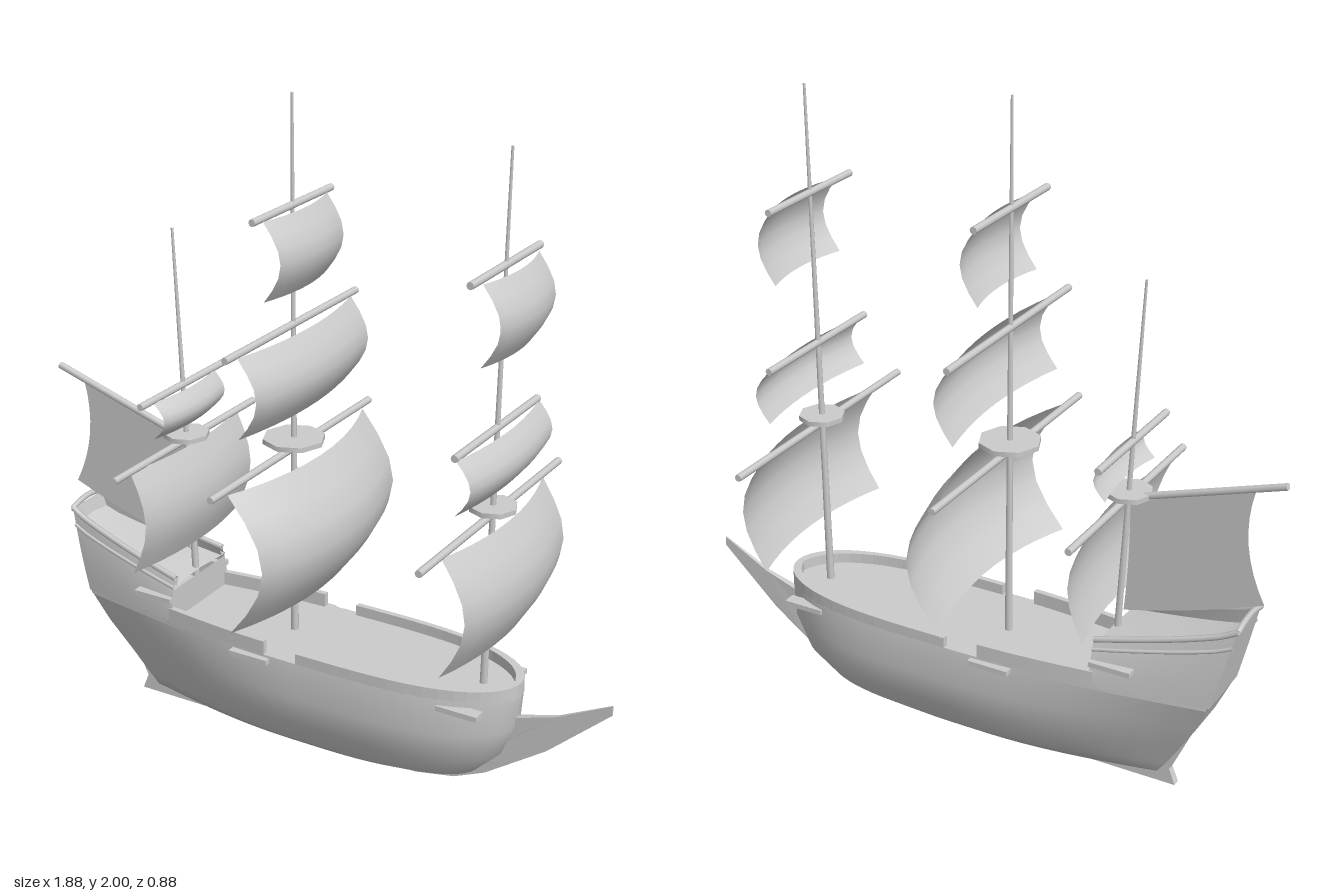
import * as THREE from 'three';

const material = new THREE.MeshStandardMaterial({ color: 0xcccccc, side: THREE.DoubleSide });
const lerp = THREE.MathUtils.lerp;

function add(parent, name, geometry) {
  const mesh = new THREE.Mesh(geometry, material);
  mesh.name = name;
  parent.add(mesh);
  return mesh;
}

// Skin over rows of points, all rows the same length
function loft(rows) {
  const n = rows[0].length, index = [];
  for (let i = 0; i < rows.length - 1; i++) {
    for (let k = 0; k < n - 1; k++) {
      const a = i * n + k, b = a + n;
      index.push(a, a + 1, b, b, a + 1, b + 1);
    }
  }
  const g = new THREE.BufferGeometry();
  g.setAttribute('position', new THREE.Float32BufferAttribute(rows.flat(2), 3));
  g.setIndex(index);
  g.computeVertexNormals();
  return g;
}

// Tapered round spar between two points
function spar(parent, name, from, to, r0, r1 = r0) {
  const a = new THREE.Vector3(...from), b = new THREE.Vector3(...to);
  const mesh = add(parent, name, new THREE.CylinderGeometry(r1, r0, a.distanceTo(b), 8));
  mesh.position.copy(a).lerp(b, 0.5);
  mesh.quaternion.setFromUnitVectors(new THREE.Vector3(0, 1, 0), b.sub(a).normalize());
}

// Horizontal slab from an outline of [x, z] points
function slab(parent, name, outline, top, thick) {
  const shape = new THREE.Shape(outline.map(p => new THREE.Vector2(...p)));
  const g = new THREE.ExtrudeGeometry(shape, { depth: thick, bevelEnabled: false });
  add(parent, name, g.rotateX(Math.PI / 2)).position.y = top;
}

// Hull levels: height, stern x, bow x, greatest half-width, stern half-width
const levels = [
  [0.03, -0.60, 0.38, 0.085, 0.012],
  [0.07, -0.63, 0.53, 0.13, 0.02],
  [0.15, -0.68, 0.61, 0.175, 0.04],
  [0.25, -0.74, 0.65, 0.2, 0.07],
  [0.36, -0.79, 0.66, 0.188, 0.1],
];
const rim = levels[4];

function halfWidth([, , , wide, stern], t) {
  if (t < 0.55) return stern + (wide - stern) * Math.sin(Math.PI / 2 * t / 0.55);
  if (t < 0.6) return wide;
  return wide * Math.sqrt(Math.max(0, 1 - ((t - 0.6) / 0.4) ** 3));
}
const rimWidth = x => halfWidth(rim, (x - rim[1]) / (rim[2] - rim[1]));

// Mirrored cross-section: one side from the top down, then the other side up
const mirrored = side => [...side.slice().reverse().map(([x, y, z]) => [x, y, -z]), ...side];

// Flat wall closing a mirrored cross-section
const endWall = side => loft(side.map(([x, y, z]) => [[x, y, -z], [x, y, z]]));

function buildHull(ship) {
  const station = t => levels.map(l => [lerp(l[1], l[2], t), l[0], halfWidth(l, t)]);
  const rows = [];
  for (let i = 0; i <= 28; i++) rows.push(mirrored(station(Math.sin(i / 28 * Math.PI / 2))));
  add(ship, 'hull', loft(rows));
  add(ship, 'transom', endWall(station(0)));

  // Keel, sternpost and beakhead in one thin plate, narrowing to the tip
  const outline = [[-0.66, 0], [0.33, 0], [0.46, 0.025], [0.56, 0.07], [0.64, 0.125], [0.75, 0.2],
    [0.94, 0.37], [0.94, 0.4], [0.78, 0.32], [0.65, 0.28], [0.6, 0.18], [0.5, 0.1], [0.3, 0.05],
    [-0.58, 0.05], [-0.7, 0.25], [-0.725, 0.24], [-0.64, 0.05]];
  const keel = new THREE.ExtrudeGeometry(new THREE.Shape(outline.map(p => new THREE.Vector2(...p))),
    { depth: 0.024, bevelEnabled: false }).translate(0, 0, -0.012);
  const p = keel.attributes.position;
  for (let i = 0; i < p.count; i++) {
    p.setZ(i, p.getZ(i) * (1 - 0.8 * THREE.MathUtils.smoothstep(p.getX(i), 0.6, 0.94)));
  }
  keel.computeVertexNormals();
  add(ship, 'keel', keel);
}

function buildDeck(ship) {
  // One side of the rim between two x positions, closer together near the bow
  const edge = (x0, x1) => Array.from({ length: 17 }, (_, i) => {
    const x = lerp(x0, x1, Math.sin(i / 16 * Math.PI / 2));
    return [x, rimWidth(x)];
  });
  const inset = pts => pts.map(([x, z]) => [x > 0.4 ? x - 0.02 * (x - 0.4) / 0.26 : x, Math.max(0, z - 0.018)]);
  const flip = pts => pts.map(([x, z]) => [x, -z]).reverse();
  const round = pts => [...pts, ...flip(pts).slice(1)];

  slab(ship, 'mainDeck', round(edge(-0.78, 0.66)), 0.36, 0.015);
  const bow = edge(0.02, 0.66);
  slab(ship, 'bowBulwark', [...round(bow), ...round(inset(bow)).reverse()], 0.393, 0.04);
  const waist = edge(-0.45, -0.09);
  const wall = [...waist, ...inset(waist).reverse()];
  slab(ship, 'waistBulwark', wall, 0.403, 0.05);
  slab(ship, 'waistBulwark', flip(wall), 0.403, 0.05);
}

function buildSterncastle(ship) {
  const castle = new THREE.Group();
  castle.name = 'sterncastle';
  ship.add(castle);
  // h runs from the hull rim (0) to the rail (1), a from stern to bulkhead
  const point = (a, h) => {
    const z = rimWidth(lerp(-0.79, -0.44, a)) * (1 - 0.18 * h * h);
    return [lerp(-0.79 - 0.065 * h, -0.44, a), lerp(0.355, lerp(0.615, 0.495, Math.pow(a, 0.75)), h), z];
  };
  const side = a => [0, 0.25, 0.5, 0.75, 1].map(h => point(a, h));
  const steps = Array.from({ length: 11 }, (_, i) => i / 10);

  for (const s of [1, -1]) {
    const flip = ([x, y, z]) => [x, y, z * s];
    add(castle, 'sideWall', loft(steps.map(a => side(a).map(flip))));
    add(castle, 'innerWall', loft(steps.map(a => [0.8, 1].map(h => {
      const [x, y, z] = point(a, h);
      return [x, y, (z - 0.015) * s];
    }))));
    // Cap rail and side moulding
    for (const [name, h, r] of [['capRail', 1, 0.009], ['moulding', 0.8, 0.006]]) {
      const path = new THREE.CatmullRomCurve3(steps.map(a => new THREE.Vector3(...flip(point(a, h)))));
      add(castle, name, new THREE.TubeGeometry(path, 16, r, 6));
    }
  }
  add(castle, 'sternWall', endWall(side(0)));
  add(castle, 'bulkhead', endWall(side(1).slice(0, 4)));
  add(castle, 'poopDeck', loft(steps.map(a => {
    const [x, y, z] = point(a, 0.8);
    return [[x, y, -z], [x, y + 0.01, 0], [x, y, z]];
  })));
  // Arched stern rail
  const [x, y, z] = point(0, 1);
  const arch = new THREE.QuadraticBezierCurve3(new THREE.Vector3(x, y, -z),
    new THREE.Vector3(x, y + 0.03, 0), new THREE.Vector3(x, y, z));
  add(castle, 'sternRail', new THREE.TubeGeometry(arch, 10, 0.009, 6));
}

// Square sail bulging forward both along its height and across its width
function squareSail(parent, x, top, bottom, half, drop, belly) {
  const rows = [];
  for (let i = 0; i <= 6; i++) {
    const v = i / 6, row = [];
    for (let k = 0; k <= 10; k++) {
      const u = k / 5 - 1;
      row.push([x + drop * Math.sin(Math.PI * v) + belly * (1 - u * u), lerp(top, bottom, v), u * half]);
    }
    rows.push(row);
  }
  add(parent, 'squareSail', loft(rows));
}

// Masts: foot, head, radius, top platform [y, radius],
// sails [sail x, yard y, yard half-length, sail bottom, sail half-width, drop bulge, cross bulge]
const masts = [
  { name: 'mainMast', foot: [-0.095, 0.34], head: [-0.095, 2], r: 0.012, top: [0.982, 0.093], sails: [
    [-0.08, 0.955, 0.44, 0.52, 0.375, 0.11, 0.075],
    [-0.085, 1.335, 0.355, 1.09, 0.308, 0.06, 0.038],
    [-0.085, 1.685, 0.21, 1.45, 0.17, 0.055, 0.025]] },
  { name: 'foreMast', foot: [0.54, 0.34], head: [0.57, 1.94], r: 0.012, top: [0.917, 0.07], sails: [
    [0.555, 0.895, 0.435, 0.53, 0.315, 0.075, 0.05],
    [0.56, 1.155, 0.255, 0.99, 0.255, 0.045, 0.028],
    [0.58, 1.62, 0.21, 1.385, 0.168, 0.055, 0.027]] },
  { name: 'mizzenMast', foot: [-0.452, 0.45], head: [-0.505, 1.555], r: 0.011, top: [0.917, 0.07], sails: [
    [-0.48, 0.9, 0.37, 0.57, 0.283, 0.05, 0.035],
    [-0.478, 1.075, 0.22, 0.955, 0.16, 0.038, 0.02]] },
];

function buildMast(ship, { name, foot, head, r, top, sails }) {
  const mast = new THREE.Group();
  mast.name = name;
  ship.add(mast);
  const xAt = y => lerp(foot[0], head[0], (y - foot[1]) / (head[1] - foot[1]));
  spar(mast, 'pole', [...foot, 0], [...head, 0], r, 0.004);
  add(mast, 'topPlatform', new THREE.CylinderGeometry(top[1], top[1], 0.015, 8))
    .position.set(xAt(top[0]), top[0], 0);
  for (const [x, y, yard, bottom, half, drop, belly] of sails) {
    spar(mast, 'yard', [xAt(y), y, -yard], [xAt(y), y, yard], 0.011);
    squareSail(mast, x, y - 0.005, bottom, half, drop, belly);
  }
}

function buildSpanker(ship) {
  spar(ship, 'gaff', [-0.94, 1.048, 0], [-0.475, 0.9, 0], 0.011);
  const sail = new THREE.Shape();
  sail.moveTo(-0.85, 1.01);
  sail.lineTo(-0.48, 0.89);
  sail.quadraticCurveTo(-0.485, 0.7, -0.47, 0.535);
  sail.quadraticCurveTo(-0.68, 0.585, -0.895, 0.67);
  sail.quadraticCurveTo(-0.805, 0.84, -0.85, 1.01);
  add(ship, 'spankerSail', new THREE.ShapeGeometry(sail, 8));
}

export function createModel() {
  const ship = new THREE.Group();
  ship.name = 'sailingShip';
  buildHull(ship);
  buildDeck(ship);
  buildSterncastle(ship);
  masts.forEach(m => buildMast(ship, m));
  buildSpanker(ship);

  // Channel ledges outside the hull beside each mast
  for (const [x, y, z] of [[-0.505, 0.43, 0.143], [-0.135, 0.345, 0.186], [0.535, 0.335, 0.145]]) {
    for (const s of [1, -1]) {
      add(ship, 'channel', new THREE.BoxGeometry(0.13, 0.016, 0.04)).position.set(x, y, z * s);
    }
  }
  return ship;
}
